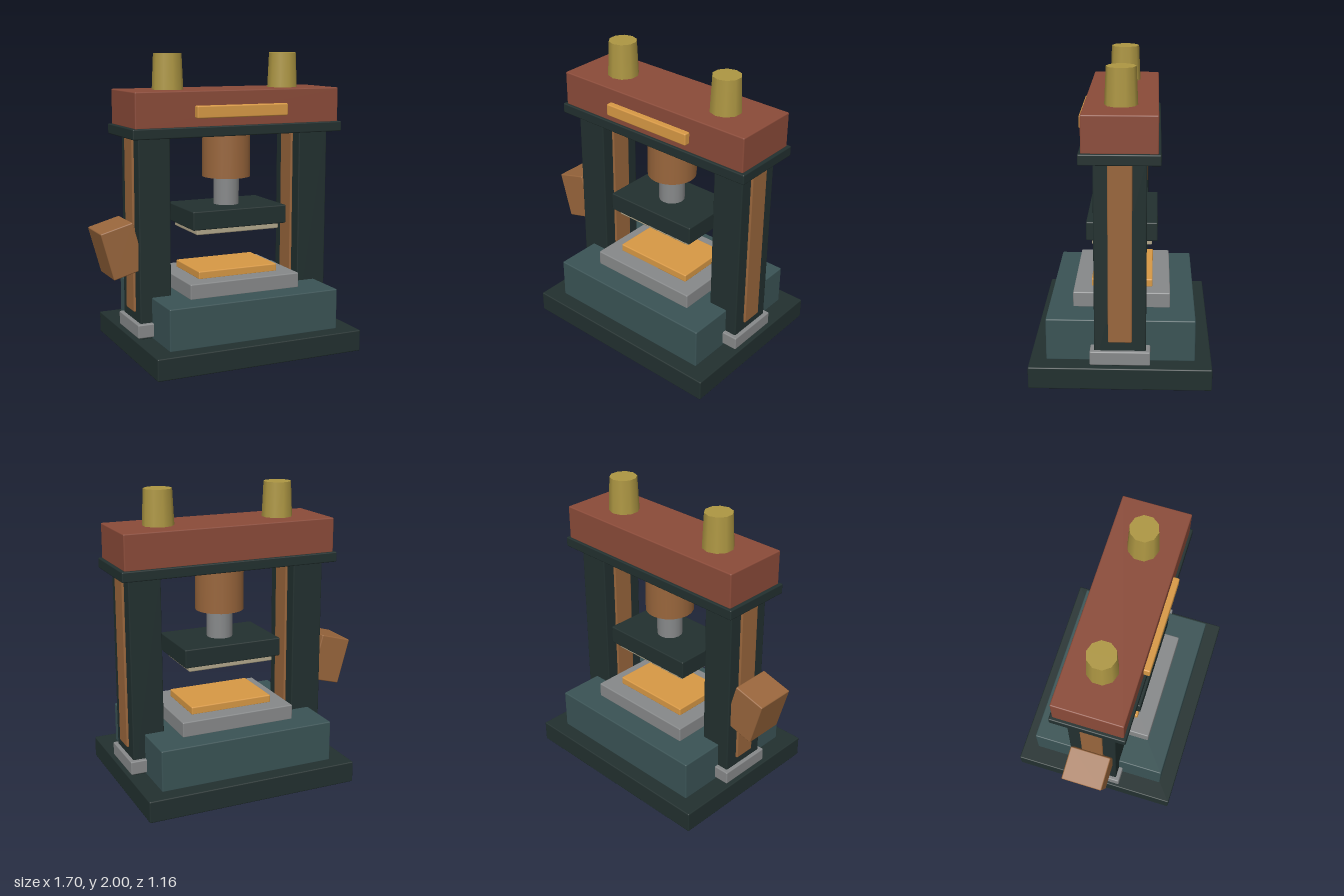
import * as THREE from 'three';
import { RoundedBoxGeometry } from 'three/addons/geometries/RoundedBoxGeometry.js';

const material = (name, color) => {
  const m = new THREE.MeshStandardMaterial({ color });
  m.name = name;
  return m;
};

export function createModel() {
  const iron = material('dark iron', 0x22302f);
  const teal = material('teal paint', 0x3a5355);
  const red = material('red paint', 0x8b4b39);
  const brass = material('brass', 0xae9743);
  const steel = material('steel', 0x87898a);
  const amber = material('amber', 0xd89945);
  const copper = material('copper brown', 0x99663c);
  const cream = material('cream', 0xb3a88c);

  const model = new THREE.Group();
  model.name = 'press';
  const press = new THREE.Group();
  press.name = 'pressBody';
  press.position.x = 0.09; // the side box pushes the frame off centre
  model.add(press);

  const add = (name, geometry, mat, x, y, z) => {
    const mesh = new THREE.Mesh(geometry, mat);
    mesh.name = name;
    mesh.position.set(x, y, z);
    press.add(mesh);
    return mesh;
  };
  // Softly edged box, placed by its bottom and top heights
  const box = (name, mat, w, y0, y1, d, x = 0, z = 0) =>
    add(name, new RoundedBoxGeometry(w, y1 - y0, d, 2, 0.008), mat, x, (y0 + y1) / 2, z);
  const cylinder = (name, mat, rTop, rBottom, y0, y1, sides, x = 0) =>
    add(name, new THREE.CylinderGeometry(rTop, rBottom, y1 - y0, sides), mat, x, (y0 + y1) / 2, 0);

  // Base and lower die
  box('base', iron, 1.47, 0, 0.145, 1.16);
  box('bed', teal, 1.22, 0.14, 0.42, 0.95);
  box('bolster', steel, 0.8, 0.415, 0.52, 0.63);
  box('lowerPad', amber, 0.58, 0.515, 0.57, 0.4);

  // Columns with guide rails and feet, plus the caps above them
  for (const [side, s] of [['left', 1], ['right', -1]]) {
    box(side + 'Column', iron, 0.218, 0.14, 1.475, 0.324, s * 0.583);
    box(side + 'Rail', copper, 0.246, 0.31, 1.475, 0.15, s * 0.583);
    box(side + 'Foot', steel, 0.27, 0.16, 0.252, 0.38, s * 0.583);
    cylinder(side + 'Cap', brass, 0.093, 0.104, 1.755, 2, 10, s * 0.425);
  }

  // Crown
  box('crownPlate', iron, 1.514, 1.467, 1.535, 0.494);
  box('crown', red, 1.47, 1.53, 1.765, 0.46);
  box('frontBar', amber, 0.655, 1.59, 1.67, 0.05, 0, 0.245);

  // Ram and upper die
  cylinder('ramCylinder', copper, 0.164, 0.164, 1.17, 1.475, 20);
  cylinder('ramRod', steel, 0.087, 0.087, 0.97, 1.18, 16);
  box('upperPlaten', iron, 0.685, 0.855, 0.98, 0.46);
  box('upperDie', cream, 0.605, 0.815, 0.86, 0.39);

  // Tilted control box on the right column
  const control = box('controlBox', copper, 0.226, 0.578, 0.902, 0.28, -0.793);
  control.rotation.z = 0.27;

  return model;
}
